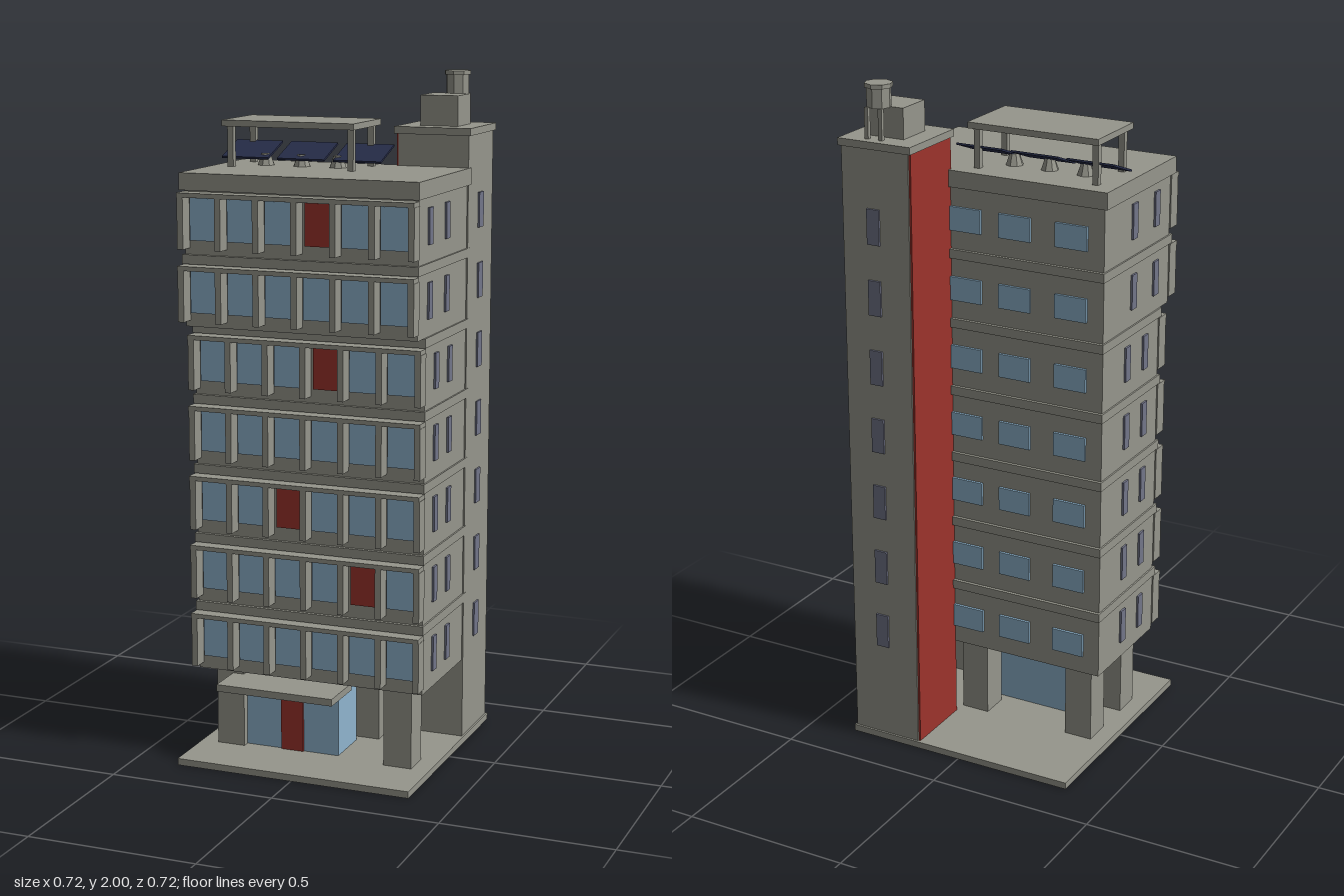
import * as THREE from 'three';

const mat = (name, color) => {
  const m = new THREE.MeshStandardMaterial({ color });
  m.name = name;
  return m;
};

export function createModel() {
  const concrete = mat('concrete', 0x96968c);
  const glass = mat('blueGlass', 0x8fb4ce);
  const red = mat('redPaint', 0x9c332c);
  const slit = mat('slateGlass', 0x727589);
  const navy = mat('solarNavy', 0x262c48);
  const model = new THREE.Group();
  model.name = 'towerBlock';

  // Box given by its extents on each axis
  const box = (name, m, x0, x1, y0, y1, z0, z1, parent = model) => {
    const mesh = new THREE.Mesh(new THREE.BoxGeometry(x1 - x0, y1 - y0, z1 - z0), m);
    mesh.position.set((x0 + x1) / 2, (y0 + y1) / 2, (z0 + z1) / 2);
    mesh.name = name;
    parent.add(mesh);
    return mesh;
  };
  const prism = (name, m, rTop, rBottom, h, sides, x, y, z) => {
    const g = new THREE.CylinderGeometry(rTop, rBottom, h, sides).toNonIndexed();
    g.computeVertexNormals();
    const mesh = new THREE.Mesh(g, m);
    mesh.position.set(x, y + h / 2, z);
    mesh.name = name;
    model.add(mesh);
    return mesh;
  };

  // Ground level: plinth, pillars, lobby, door and canopy
  box('plinth', concrete, -0.36, 0.36, 0, 0.02, -0.36, 0.36);
  for (const [x, z] of [[-0.265, 0.145], [0.263, 0.145], [-0.265, -0.055], [0.088, -0.055]])
    box('pillar', concrete, x - 0.043, x + 0.043, 0.02, 0.262, z - 0.043, z + 0.043);
  box('lobby', glass, -0.222, 0.07, 0.02, 0.2, 0.018, 0.165);
  box('entranceDoor', red, -0.11, -0.04, 0.02, 0.172, 0.165, 0.171);
  box('canopy', concrete, -0.257, 0.105, 0.222, 0.243, 0.15, 0.305);

  // Seven storeys, the top two stepping forward
  const pitch = 0.207, bay = 0.115, back = -0.137;
  const redBay = { 1: 4, 2: 2, 4: 3, 6: 3 };
  for (let i = 0; i < 7; i++) {
    const storey = new THREE.Group();
    storey.name = 'storey' + (i + 1);
    model.add(storey);
    const y = 0.26 + i * pitch;
    const front = i >= 5 ? 0.281 : 0.221;
    box('storeyBody', concrete, -0.35, 0.35, y, y + 0.181, back, front, storey);
    if (i < 6) {
      const f = i === 5 ? 0.293 : 0.232;
      box('floorSlab', concrete, -0.355, 0.355, y + 0.18, y + pitch, -0.147, f, storey);
    }
    // Facade frame: fins under a ledge
    box('facadeLedge', concrete, -0.355, 0.353, y + 0.165, y + 0.178, front, front + 0.046, storey);
    for (let k = 0; k < 7; k++) {
      const x = (k - 3) * bay;
      box('facadeFin', concrete, x - 0.009, x + 0.009, y + 0.018, y + 0.165, front, front + 0.045, storey);
    }
    for (let k = 0; k < 6; k++) {
      const x = (k - 2.5) * bay, isRed = redBay[i] === k;
      const w = isRed ? 0.04 : 0.045;
      box(isRed ? 'redPanel' : 'frontWindow', isRed ? red : glass,
        x - w, x + w, y + 0.04, y + 0.16, front, front + 0.006, storey);
    }
    // Narrow windows on both ends
    for (const z of i >= 5 ? [0.19, 0.047] : [0.13, 0.015])
      for (const s of [-1, 1])
        box('sideWindow', slit, s * 0.352 - 0.004, s * 0.352 + 0.004, y + 0.05, y + 0.153, z - 0.015, z + 0.015, storey);
    for (const x of [-0.25, -0.072, 0.085])
      box('rearWindow', glass, x - 0.05, x + 0.05, y + 0.055, y + 0.125, back - 0.008, back + 0.001, storey);
    // Stair tower windows
    box('towerSideWindow', slit, 0.35, 0.359, y + 0.05, y + 0.153, -0.26, -0.22, storey);
    box('towerRearWindow', slit, 0.234, 0.274, y + 0.05, y + 0.153, -0.36, -0.351, storey);
  }
  box('mainRoof', concrete, -0.362, 0.357, 1.684, 1.733, -0.148, 0.294);

  // Stair tower with red flank
  box('stairTower', concrete, 0.14, 0.354, 0.02, 1.826, -0.354, -0.13);
  box('redFlank', red, 0.134, 0.14, 0.02, 1.826, -0.35, -0.134);
  box('towerRoof', concrete, 0.128, 0.36, 1.825, 1.846, -0.363, -0.125);
  box('roofHut', concrete, 0.187, 0.302, 1.846, 1.934, -0.297, -0.183);

  // Water tank on legs
  prism('waterTank', concrete, 0.035, 0.035, 0.055, 8, 0.259, 1.933, -0.305);
  prism('tankLid', concrete, 0.04, 0.04, 0.012, 8, 0.259, 1.988, -0.305);
  for (const x of [0.237, 0.281])
    box('tankLeg', concrete, x - 0.006, x + 0.006, 1.845, 1.934, -0.338, -0.326);

  // Roof shelter
  box('shelterTop', concrete, -0.316, 0.091, 1.85, 1.868, -0.115, 0.102);
  for (const x of [-0.298, 0.073])
    for (const z of [-0.086, 0.073])
      box('shelterPost', concrete, x - 0.009, x + 0.009, 1.733, 1.85, z - 0.009, z + 0.009);

  // Tilted solar panels and roof vents
  for (const x of [-0.279, -0.105, 0.069]) {
    const panel = box('solarPanel', navy, x - 0.073, x + 0.073, 1.771, 1.777, -0.093, 0.025);
    panel.rotation.x = 0.35;
  }
  for (const x of [-0.225, -0.112, 0])
    prism('roofVent', concrete, 0.014, 0.026, 0.034, 8, x, 1.733, -0.008);

  return model;
}
